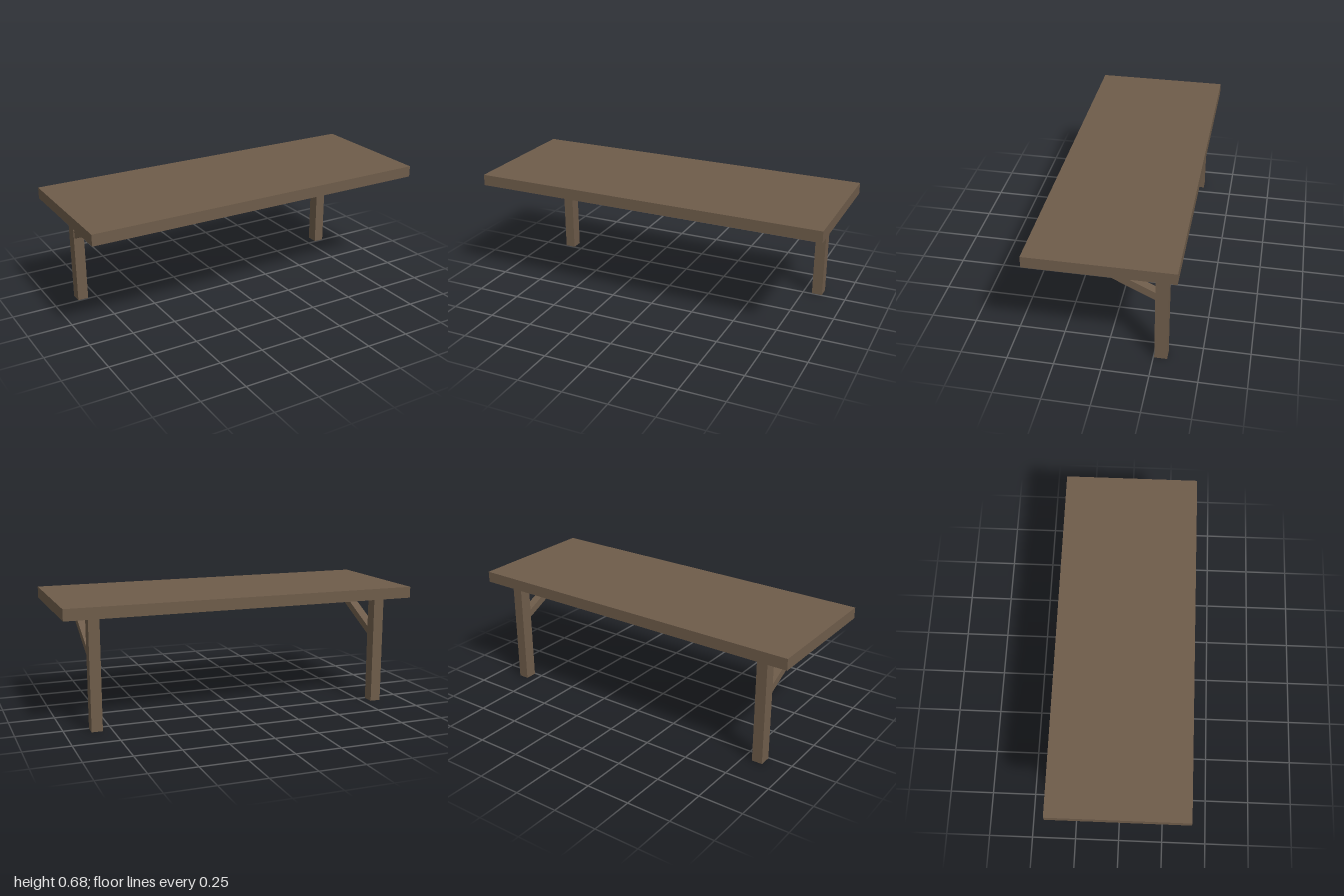
import * as THREE from 'three';

const wood = new THREE.MeshStandardMaterial({ color: 0x6e5c4a });
wood.name = 'brown wood';

const TOP_Y = 0.676, UNDER_Y = 0.613;
const LEG_X = 0.832, LEG_FRONT = -0.255, LEG_BACK = -0.323;

function box(name, w, h, d, x, y, z) {
  const mesh = new THREE.Mesh(new THREE.BoxGeometry(w, h, d), wood);
  mesh.name = name;
  mesh.position.set(x, y, z);
  return mesh;
}

// Slanted brace, cut flush with the leg and the underside of the top
function brace(name, x) {
  const width = 0.05;
  const profile = new THREE.Shape([
    [0.21, UNDER_Y], [LEG_FRONT, 0.385], [LEG_FRONT, 0.43], [0.115, UNDER_Y],
  ].map(([z, y]) => new THREE.Vector2(-z, y)));
  const geometry = new THREE.ExtrudeGeometry(profile, { depth: width, bevelEnabled: false });
  geometry.translate(0, 0, -width / 2).rotateY(Math.PI / 2);
  const mesh = new THREE.Mesh(geometry, wood);
  mesh.name = name;
  mesh.position.x = x;
  return mesh;
}

export function createModel() {
  const table = new THREE.Group();
  table.name = 'wallTable';

  // Table top
  table.add(box('tableTop', 2, TOP_Y - UNDER_Y, 0.762, 0, (TOP_Y + UNDER_Y) / 2, 0));

  // Back legs, each with a brace reaching forward
  for (const [side, sign] of [['left', 1], ['right', -1]]) {
    const x = sign * LEG_X;
    table.add(box(side + 'Leg', 0.06, UNDER_Y, LEG_FRONT - LEG_BACK, x, UNDER_Y / 2, (LEG_FRONT + LEG_BACK) / 2));
    table.add(brace(side + 'Brace', x));
  }
  return table;
}
